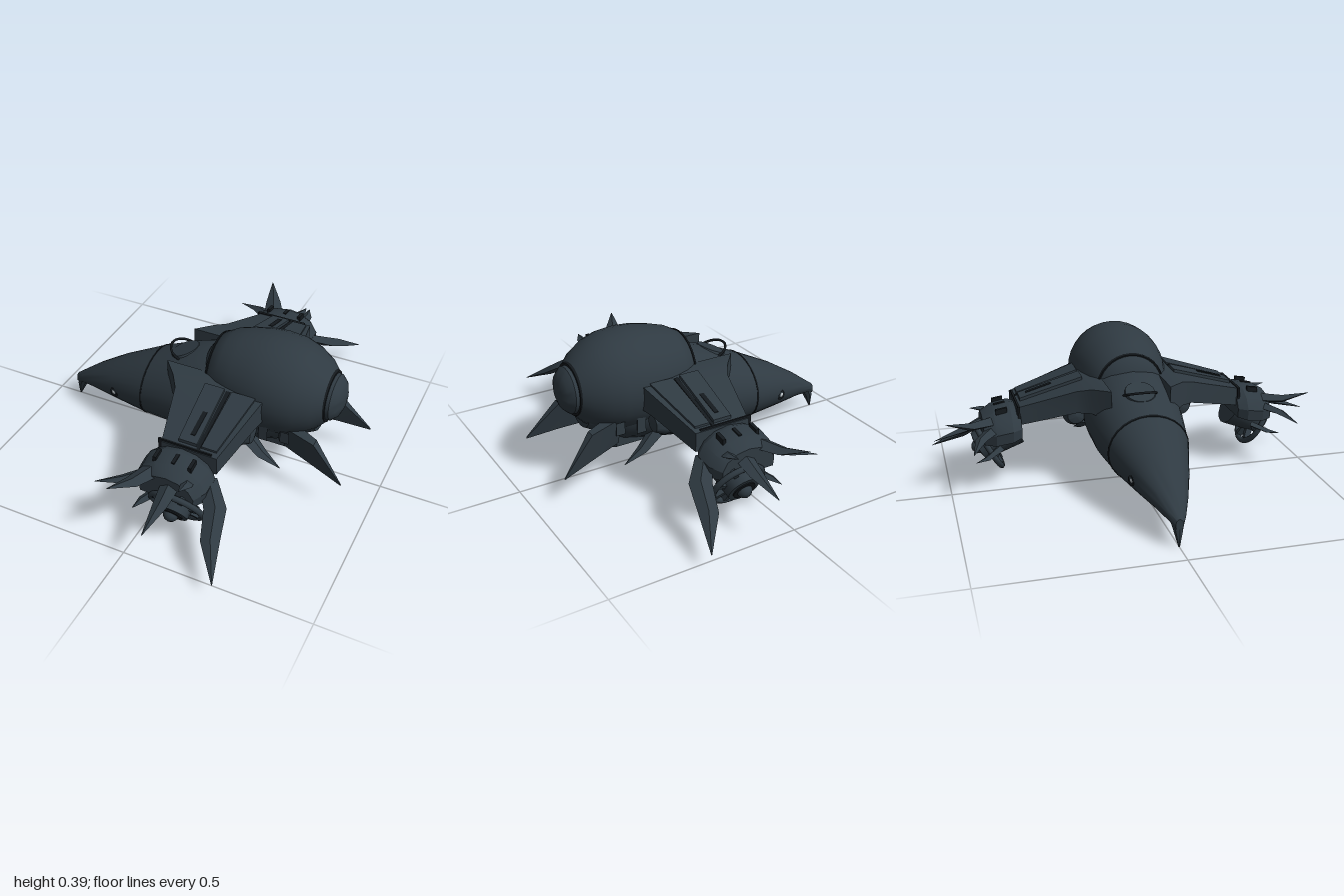
import * as THREE from 'three';
import { toCreasedNormals } from 'three/addons/utils/BufferGeometryUtils.js';

const mat = (name, color) => Object.assign(new THREE.MeshStandardMaterial({ color }), { name });
const V = (x, y, z) => new THREE.Vector3(x, y, z);

// Closed skin through rings of equal point count, wound to face outward
function loft(rings, crease = 0.6) {
  const n = rings[0].length, pts = rings.flat(), tris = [];
  for (let i = 0; i < rings.length - 1; i++)
    for (let j = 0; j < n; j++) {
      const a = i * n + j, b = i * n + (j + 1) % n;
      tris.push([a, b, a + n], [b, b + n, a + n]);
    }
  const e = (rings.length - 1) * n;
  for (let j = 1; j < n - 1; j++) tris.push([0, j + 1, j], [e, e + j, e + j + 1]);
  const c = pts.reduce((s, p) => s.add(p), V(0, 0, 0)).divideScalar(pts.length);
  let vol = 0;
  for (const t of tris) {
    const [p, q, r] = t.map(k => pts[k].clone().sub(c));
    vol += p.dot(q.cross(r));
  }
  if (vol < 0) tris.forEach(t => t.reverse());
  const g = new THREE.BufferGeometry().setFromPoints(pts);
  g.setIndex(tris.flat());
  return toCreasedNormals(g, crease);
}

// Hull sections: x, top, bottom, half width
const HULL = [
  [-0.435, 1.685, 1.655, 0.01], [-0.41, 1.703, 1.664, 0.024], [-0.36, 1.74, 1.668, 0.045],
  [-0.28, 1.79, 1.664, 0.073], [-0.165, 1.848, 1.66, 0.108], [-0.06, 1.893, 1.658, 0.126],
  [0.03, 1.925, 1.664, 0.13], [0.12, 1.93, 1.68, 0.122], [0.22, 1.92, 1.70, 0.10], [0.32, 1.88, 1.755, 0.06],
];
function hullRing(x, grow = 0) {
  let i = 0;
  while (i < HULL.length - 2 && HULL[i + 1][0] < x) i++;
  const A = HULL[i], B = HULL[i + 1], t = (x - A[0]) / (B[0] - A[0]);
  const [top, bot, w] = [1, 2, 3].map(k => A[k] + (B[k] - A[k]) * t);
  return Array.from({ length: 28 }, (_, j) => {
    const a = j / 28 * Math.PI * 2;
    return V(x, (top + bot) / 2 + Math.cos(a) * ((top - bot) / 2 + grow), Math.sin(a) * (w + grow));
  });
}

// Tapered blade along a path; w is the half width in the fan, t half thickness
function blade(path, widths, thick = 0.4) {
  const dir = path[path.length - 1].clone().sub(path[0]).normalize();
  const side = V(0, 1, 0).cross(dir).normalize(), up = dir.clone().cross(side);
  return loft(path.map((p, i) => [[1, 0], [0, thick], [-1, 0], [0, -thick]].map(([u, v]) =>
    p.clone().addScaledVector(side, u * widths[i]).addScaledVector(up, v * widths[i]))), 0.3);
}

// Slab along z from rows of z, x0, x1, top, bottom
const slab = rows => loft(rows.map(([z, x0, x1, t, b]) => [V(x0, b, z), V(x1, b, z), V(x1, t, z), V(x0, t, z)]), 0.4);

// Solid of revolution about the x axis
function latheX(profile) {
  const g = new THREE.LatheGeometry(profile.map(([x, r]) => new THREE.Vector2(r, x)), 32);
  return toCreasedNormals(g.rotateZ(-Math.PI / 2), 0.6);
}

export function createModel() {
  const model = new THREE.Group();
  const hullMat = mat('slate hull', 0x2f3a42);
  const seamMat = mat('dark seam', 0x14191d);
  const eyeMat = mat('pale lens', 0xc4cbd0);
  const add = (parent, name, geo, m = hullMat, x = 0, y = 0, z = 0) => {
    const mesh = new THREE.Mesh(geo, m);
    mesh.name = name;
    mesh.position.set(x, y, z);
    parent.add(mesh);
    return mesh;
  };

  // Tapering fuselage with hooked beak
  add(model, 'fuselage', loft(HULL.map(s => hullRing(s[0]))));
  add(model, 'beak', loft([[-0.4, 1.69, 0.022, 0.02], [-0.422, 1.655, 0.015, 0.013], [-0.433, 1.612, 0.002, 0.002]]
    .map(([x, y, rx, rz]) => Array.from({ length: 8 }, (_, j) =>
      V(x + Math.cos(j * Math.PI / 4) * rx, y, Math.sin(j * Math.PI / 4) * rz)))));
  add(model, 'noseSeam', loft([hullRing(-0.167, 0.0015), hullRing(-0.162, 0.0015)]), seamMat);

  // Round rear dome and end cap
  add(model, 'rearDome', latheX([[0.0, 0], [0.003, 0.055], [0.025, 0.09], [0.06, 0.11], [0.1, 0.122], [0.15, 0.132],
    [0.19, 0.135], [0.24, 0.131], [0.28, 0.118], [0.32, 0.094], [0.343, 0.07], [0.345, 0]]), hullMat, 0, 1.865);
  add(model, 'domeSeam', latheX([[0.024, 0.088], [0.023, 0.092], [0.029, 0.095], [0.03, 0.088]]), seamMat, 0, 1.865);
  add(model, 'capSeam', latheX([[0.338, 0], [0.338, 0.073], [0.346, 0.069], [0.346, 0]]), seamMat, 0, 1.866);
  add(model, 'rearCap', latheX([[0.33, 0], [0.335, 0.064], [0.355, 0.062], [0.37, 0.048], [0.379, 0.025], [0.382, 0]]),
    hullMat, 0, 1.866);

  // Hatch ring on the back
  const hatch = add(model, 'hatchRing', new THREE.TorusGeometry(0.044, 0.0035, 6, 20), seamMat, -0.075, 1.877, 0);
  hatch.rotation.set(-Math.PI / 2, 0.4, 0);
  const lid = add(model, 'hatchLid', new THREE.CylinderGeometry(0.04, 0.044, 0.014, 20), hullMat, -0.075, 1.879, 0);
  lid.rotation.z = 0.4;

  // Belly keel and vents
  add(model, 'bellyKeel', slab([[-0.045, 0.02, 0.24, 1.74, 1.69], [0, 0.0, 0.27, 1.74, 1.672], [0.045, 0.02, 0.24, 1.74, 1.69]]));

  for (const s of [1, -1]) {
    const half = new THREE.Group();
    half.name = s > 0 ? 'frontSide' : 'backSide';
    half.scale.z = s;
    model.add(half);

    // Eye on the nose
    const eye = add(half, 'eye', new THREE.SphereGeometry(0.007, 10, 8), eyeMat, -0.268, 1.722, 0.0745);
    eye.scale.z = 0.4;
    const lidRing = add(half, 'eyeRim', new THREE.TorusGeometry(0.012, 0.003, 6, 14), seamMat, -0.268, 1.722, 0.074);
    lidRing.rotation.y = -0.27;

    // Drooping wing with flared root
    add(half, 'wing', slab([[0.08, -0.09, 0.23, 1.895, 1.81], [0.125, -0.05, 0.205, 1.892, 1.825],
      [0.16, -0.026, 0.198, 1.882, 1.822], [0.315, 0.015, 0.165, 1.836, 1.786]]));
    add(half, 'wingPanel', slab([[0.13, 0.045, 0.1, 1.899, 1.87], [0.3, 0.055, 0.105, 1.849, 1.82]]));
    add(half, 'rearWingPanel', slab([[0.13, 0.12, 0.185, 1.896, 1.87], [0.3, 0.117, 0.158, 1.846, 1.82]]));
    add(half, 'wingSeam', slab([[0.13, 0.104, 0.116, 1.893, 1.87], [0.31, 0.107, 0.115, 1.84, 1.82]]), seamMat);
    add(half, 'wingSlot', slab([[0.21, 0.078, 0.09, 1.877, 1.86], [0.28, 0.078, 0.09, 1.8565, 1.84]]), seamMat);

    // Pod tucked under the wing root
    add(half, 'underPod', latheX([[0, 0], [0.008, 0.024], [0.03, 0.034], [0.14, 0.034], [0.165, 0.022], [0.17, 0]]),
      hullMat, 0.025, 1.793, 0.15);
    for (let i = 0; i < 3; i++)
      add(half, 'bellyVent', slab([[0.05, 0.1 + i * 0.06, 0.125 + i * 0.06, 1.75, 1.70 + i * 0.012],
        [0.115, 0.13 + i * 0.06, 0.155 + i * 0.06, 1.80, 1.745 + i * 0.01]]));

    // Rear lower fins
    add(half, 'rearFin', loft([[0.25, 1.80, 1.72, 0.075, 0.02], [0.34, 1.785, 1.705, 0.1, 0.012], [0.425, 1.692, 1.688, 0.122, 0.001]]
      .map(([x, t, b, z, w]) => [V(x, t, z - w), V(x, b, z), V(x, t, z + w)]), 0.3));
    add(half, 'bellyFin', blade([V(0.15, 1.73, 0.09), V(0.2, 1.70, 0.108), V(0.255, 1.675, 0.115)], [0.025, 0.018, 0.001]));

    // Wing-tip collar: armoured arch above the engine drum
    const arch = (z, r, y) => [...Array(9).keys()].map(i => {
      const a = Math.PI * (i / 8 * 1.2 - 0.1);
      return V(0.072 + Math.cos(a) * r, y + Math.sin(a) * r * 0.68, z);
    });
    add(half, 'tipCollar', loft([arch(0.305, 0.082, 1.775), arch(0.33, 0.097, 1.772), arch(0.375, 0.095, 1.765), arch(0.405, 0.075, 1.76)], 0.5));
    add(half, 'collarSeam', slab([[0.307, 0.005, 0.15, 1.841, 1.80], [0.313, 0.005, 0.15, 1.842, 1.80]]), seamMat);
    for (const x of [0.02, 0.07, 0.115])
      add(half, 'collarSlot', slab([[0.34, x, x + 0.009, 1.838, 1.80], [0.37, x, x + 0.009, 1.833, 1.80]]), seamMat);

    // Engine drum and hoop, tilted outward and down
    const engine = new THREE.Group();
    engine.name = 'engine';
    engine.position.set(0.09, 1.735, 0.365);
    engine.rotation.x = 0.5;
    half.add(engine);
    add(engine, 'engineDrum', toCreasedNormals(new THREE.CylinderGeometry(0.042, 0.056, 0.11, 16).rotateX(Math.PI / 2), 0.5));
    add(engine, 'engineMouth', new THREE.CylinderGeometry(0.03, 0.03, 0.008, 16).rotateX(Math.PI / 2), seamMat, 0, 0, 0.054);
    add(engine, 'engineHub', new THREE.SphereGeometry(0.02, 12, 8), hullMat, 0, 0, 0.056);
    add(engine, 'engineHoop', new THREE.TorusGeometry(0.068, 0.008, 8, 28), hullMat, 0, -0.012, 0.03);
    for (let i = 0; i < 4; i++) {
      const strut = add(engine, 'hoopStrut', new THREE.BoxGeometry(0.012, 0.13, 0.018), hullMat, 0, -0.008, 0.028);
      strut.rotation.z = i * Math.PI / 4 + 0.3;
    }

    // Fan of claws
    const claws = [
      [[V(0.02, 1.785, 0.37), V(-0.04, 1.775, 0.418), V(-0.105, 1.762, 0.443)], [0.024, 0.016, 0.001]],
      [[V(0.025, 1.80, 0.38), V(0.0, 1.80, 0.44), V(-0.03, 1.822, 0.505)], [0.028, 0.021, 0.001]],
      [[V(0.08, 1.79, 0.38), V(0.08, 1.765, 0.45), V(0.075, 1.74, 0.533)], [0.026, 0.019, 0.001]],
      [[V(0.15, 1.78, 0.33), V(0.195, 1.745, 0.385), V(0.213, 1.705, 0.45), V(0.257, 1.657, 0.533)], [0.022, 0.028, 0.024, 0.001]],
      [[V(0.12, 1.80, 0.38), V(0.125, 1.805, 0.4), V(0.12, 1.81, 0.43)], [0.018, 0.014, 0.001]],
      [[V(0.03, 1.72, 0.36), V(0.0, 1.705, 0.4), V(-0.01, 1.70, 0.43)], [0.016, 0.012, 0.001]],
    ];
    for (const [path, widths] of claws) add(half, 'claw', blade(path, widths, 0.5));
  }
  return model;
}
